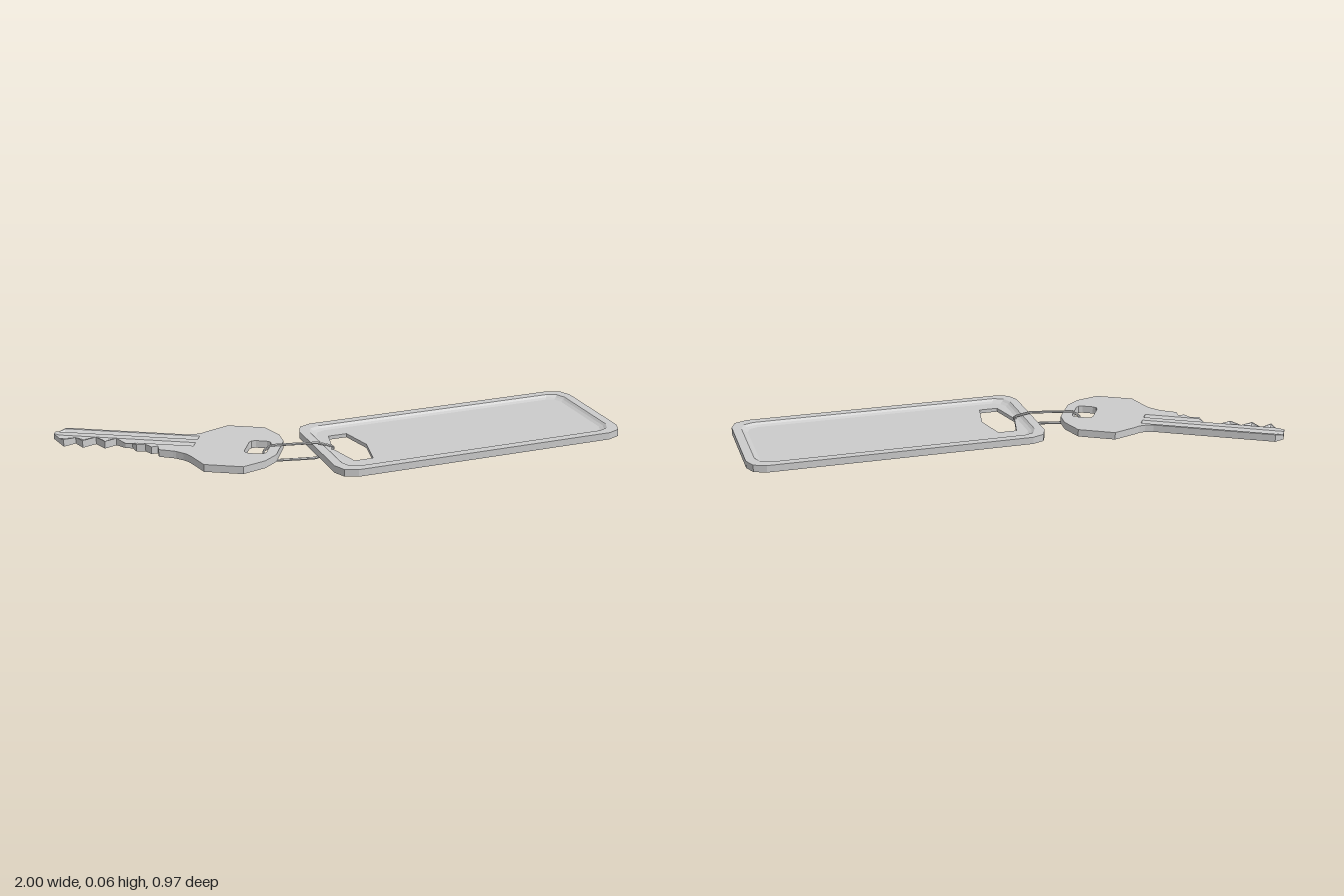
import * as THREE from 'three';

const grey = new THREE.MeshStandardMaterial({ color: 0xcccccc, flatShading: true });

function mesh(name, geometry) {
  const m = new THREE.Mesh(geometry, grey);
  m.name = name;
  return m;
}

// Flat plate in the xz plane from y0 to y1, outline and holes given as [x, z]
function plate(outline, holes, y0, y1) {
  const toVec = ([x, z]) => new THREE.Vector2(x, -z);
  const shape = new THREE.Shape(outline.map(toVec));
  shape.holes = holes.map((h) => new THREE.Path(h.map(toVec)));
  const g = new THREE.ExtrudeGeometry(shape, { depth: y1 - y0, bevelEnabled: false });
  return g.rotateX(-Math.PI / 2).translate(0, y0, 0);
}

// Skin over closed rings of equal length; extra quads may close an end
function loft(rings, extraQuads = []) {
  const pos = [];
  const quad = (a, b, c, d) => pos.push(...a, ...b, ...c, ...a, ...c, ...d);
  for (let i = 0; i < rings.length - 1; i++) {
    const a = rings[i], b = rings[i + 1];
    for (let j = 0; j < a.length; j++) {
      const k = (j + 1) % a.length;
      quad(a[j], a[k], b[k], b[j]);
    }
  }
  extraQuads.forEach((q) => quad(...q));
  const g = new THREE.BufferGeometry();
  g.setAttribute('position', new THREE.Float32BufferAttribute(pos, 3));
  g.computeVertexNormals();
  return g;
}

// Rectangle with two-segment round corners, counter-clockwise from above
function roundRect(halfX, halfZ, r, segments = 2) {
  const pts = [];
  [[1, -1], [-1, -1], [-1, 1], [1, 1]].forEach(([sx, sz], corner) => {
    for (let i = 0; i <= segments; i++) {
      const a = (corner + i / segments) * Math.PI / 2;
      pts.push([sx * (halfX - r) + r * Math.cos(a), sz * (halfZ - r) - r * Math.sin(a)]);
    }
  });
  return pts;
}

function createTag() {
  const tag = new THREE.Group();
  tag.name = 'tag';
  const L = 0.553, W = 0.241, bottom = 0.017, floor = 0.031, top = 0.043;
  const outer = roundRect(L, W, 0.064);
  const hole = [[-0.39, -0.125], [-0.363, 0], [-0.39, 0.13], [-0.46, 0.13], [-0.49, 0], [-0.46, -0.125]];
  tag.add(mesh('tagPlate', plate(outer, [hole], bottom, floor)));

  // Raised rim with a sloped inner wall
  const ring = (inset, r, y) => roundRect(L - inset, W - inset, r).map(([x, z]) => [x, y, z]);
  tag.add(mesh('tagRim', loft([
    ring(0, 0.064, floor), ring(0, 0.064, top), ring(0.033, 0.052, top),
    ring(0.042, 0.048, 0.036), ring(0.054, 0.044, floor),
  ])));
  tag.position.set(0.431, 0, -0.032);
  tag.rotation.y = Math.PI / 6;
  return tag;
}

function createKey() {
  const key = new THREE.Group();
  key.name = 'key';
  const y0 = 0.026, y1 = 0.053, neck = -0.476;

  // Faceted head with a slot for the ring
  const head = [
    [neck, 0.185], [-0.46, 0.163], [-0.4, 0.094], [-0.262, 0.094], [-0.198, 0.158], [-0.171, 0.217],
    [-0.171, 0.35], [-0.198, 0.414], [-0.262, 0.479], [-0.4, 0.479], [-0.46, 0.412], [neck, 0.397],
  ];
  const slot = roundRect(0.04, 0.061, 0.02).map(([x, z]) => [x - 0.249, z + 0.29]);
  key.add(mesh('keyHead', plate(head, [slot], y0, y1)));

  // Blade stations along x: [x, back edge z, toothed edge z]
  const back = 0.206;
  const stations = [
    [-1, 0.238, 0.27], [-0.973, back, 0.292], [-0.947, back, 0.323], [-0.914, back, 0.286],
    [-0.877, back, 0.323], [-0.84, back, 0.281], [-0.797, back, 0.318], [-0.765, back, 0.281],
    [-0.727, back, 0.302], [-0.7, back, 0.302], [-0.679, back, 0.329], [-0.647, back, 0.323],
    [-0.62, back, 0.345], [-0.599, back, 0.334], [-0.588, back, 0.366], [-0.535, back, 0.372],
    [-0.524, back, 0.374], [-0.495, 0.197, 0.386], [neck, 0.185, 0.397],
  ];

  // Cross-section: [z, top y, bottom y], two grooves above and one below
  const low = y1 - 0.013, high = y0 + 0.01;
  const section = [
    [0.18, y1, y0], [0.217, y1, y0], [0.233, low, y0], [0.249, y1, y0], [0.265, y1, high],
    [0.281, y1, y0], [0.297, low, y0], [0.313, y1, y0], [0.4, y1, y0],
  ];
  const heightAt = (z, col) => {
    const i = Math.max(1, section.findIndex((s) => s[0] >= z));
    const a = section[i - 1], b = section[i];
    return THREE.MathUtils.mapLinear(z, a[0], b[0], a[col], b[col]);
  };
  const rings = stations.map(([x, zMin, zMax]) => {
    const zs = section.map((s) => THREE.MathUtils.clamp(s[0], zMin, zMax));
    const side = (col) => zs.map((z) => [x, heightAt(z, col), z]);
    return [...side(1), ...side(2).reverse()];
  });
  const tip = rings[0], n = tip.length, cap = [];
  for (let i = 0; i < section.length - 1; i++) cap.push([tip[i], tip[n - 1 - i], tip[n - 2 - i], tip[i + 1]]);
  key.add(mesh('keyBlade', loft(rings, cap)));
  return key;
}

// Thin wire loop joining the key slot and the tag hole
function createRing() {
  const path = [
    [-0.2, 0.056, 0.273], [-0.05, 0.056, 0.226], [0.006, 0.04, 0.21], [0.004, 0.028, 0.214],
    [-0.05, 0.006, 0.244], [-0.2, 0.006, 0.292], [-0.229, 0.026, 0.29], [-0.229, 0.038, 0.282],
  ].map((p) => new THREE.Vector3(...p));
  const curve = new THREE.CatmullRomCurve3(path, true, 'catmullrom', 0.1);
  return mesh('wireRing', new THREE.TubeGeometry(curve, 64, 0.005, 6, true));
}

export function createModel() {
  const model = new THREE.Group();
  model.name = 'keyWithTag';
  model.add(createTag(), createKey(), createRing());
  return model;
}
